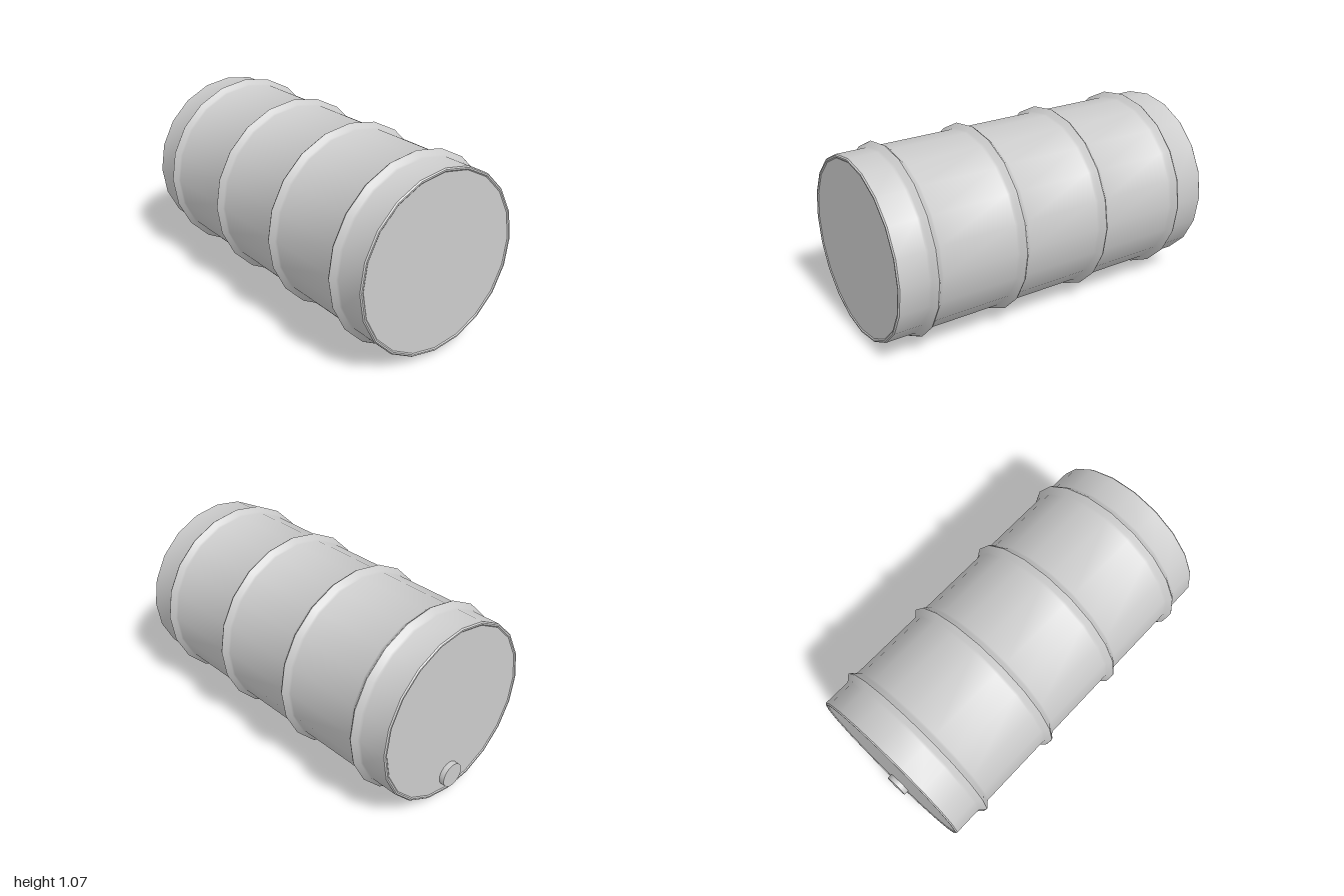
import * as THREE from 'three';
import { toCreasedNormals } from 'three/addons/utils/BufferGeometryUtils.js';

const SIDES = 20;
const RADIUS = 0.505;
const RIB_RADIUS = 0.535;
const LEFT_END = 0.99;
const RIGHT_END = -0.975;
const RIBS = [-0.77, -0.25, 0.27, 0.785];

export function createModel() {
  const group = new THREE.Group();
  group.name = 'drum';
  const material = new THREE.MeshStandardMaterial({ color: 0xcccccc });

  // Lays a turned or cylindrical part along x, at height y
  const addPart = (name, geometry, x, y) => {
    const mesh = new THREE.Mesh(toCreasedNormals(geometry, 0.7), material);
    mesh.name = name;
    mesh.rotation.z = -Math.PI / 2;
    mesh.position.set(x, y, 0);
    group.add(mesh);
  };

  // Drum profile as [radius, x]: sunken end, rounded rim, flared ribs, rim, sunken end
  const profile = [
    [0, RIGHT_END + 0.005], [0.485, RIGHT_END + 0.005], [0.491, RIGHT_END],
    [0.499, RIGHT_END], [RADIUS, RIGHT_END + 0.007],
  ];
  for (const x of RIBS) {
    profile.push(
      [RADIUS, x - 0.04], [RADIUS + 0.006, x - 0.027], [RADIUS + 0.024, x - 0.01],
      [RIB_RADIUS, x],
      [RADIUS + 0.024, x + 0.01], [RADIUS + 0.006, x + 0.027], [RADIUS, x + 0.04],
    );
  }
  profile.push(
    [RADIUS, LEFT_END - 0.007], [0.499, LEFT_END], [0.491, LEFT_END],
    [0.485, LEFT_END - 0.005], [0, LEFT_END - 0.005],
  );
  const points = profile.map(([r, x]) => new THREE.Vector2(r, x));
  addPart('drumBody', new THREE.LatheGeometry(points, SIDES), 0, RIB_RADIUS);

  // Filler plug low on the right end
  addPart('fillerPlug', new THREE.CylinderGeometry(0.07, 0.07, 0.035, SIDES), -0.9825, 0.142);

  return group;
}
